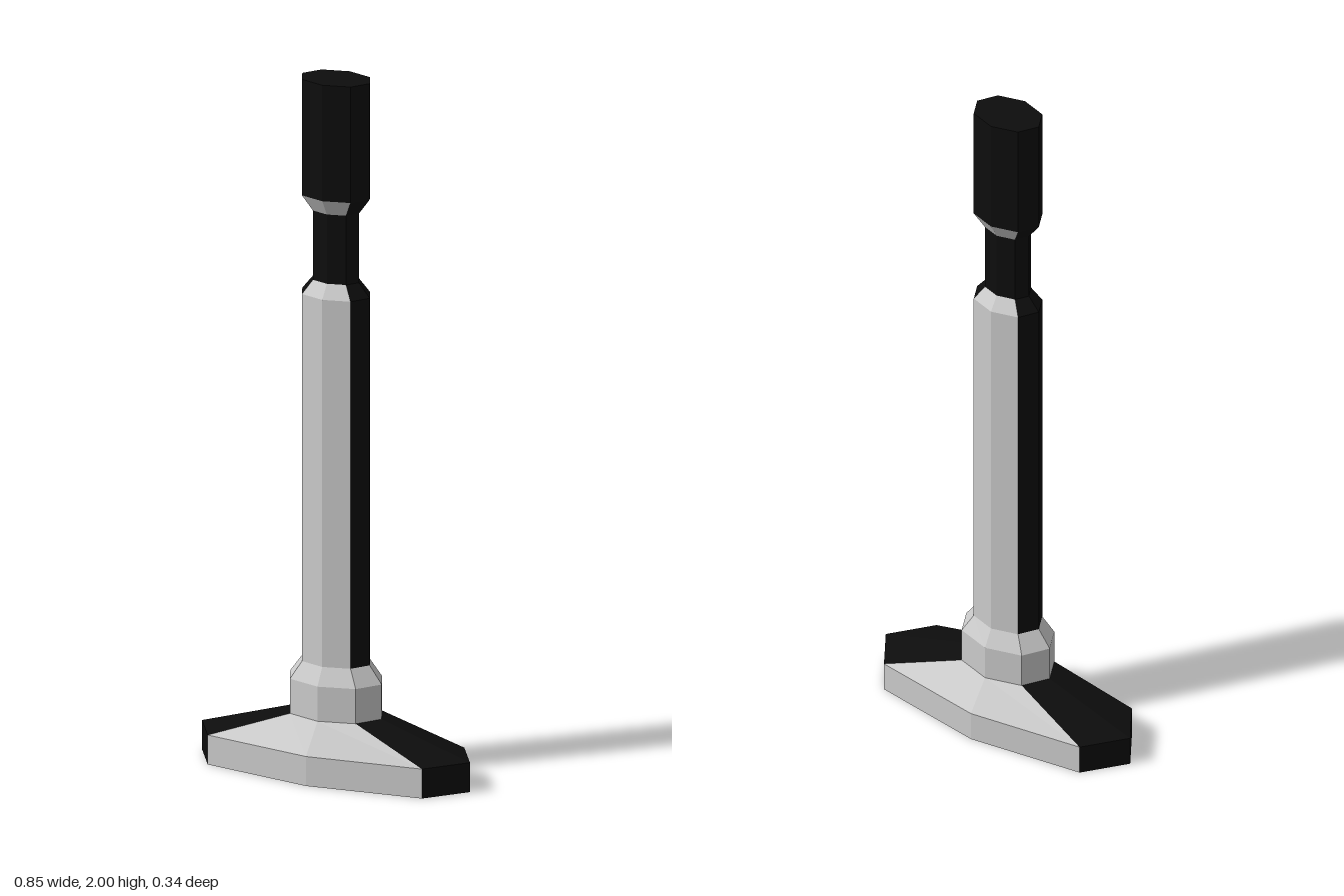
import * as THREE from 'three';

const GREY = 0xcccccc, BLACK = 0x0d0d0d;
// Facets of the eight-sided section: broad front/back pair, and the two ends
const BROAD = [1, 2, 5, 6], ENDS = [0, 3, 4, 7], ALL = [0, 1, 2, 3, 4, 5, 6, 7];

// Eight-sided ring: half width rx, half depth rz, corner position (cx, cz)
function ring(y, rx, rz, cx = rx * 0.72, cz = rz * 0.71) {
  return [[rx, 0], [cx, cz], [0, rz], [-cx, cz], [-rx, 0], [-cx, -cz], [0, -rz], [cx, -cz]]
    .map(([x, z]) => new THREE.Vector3(x, y, z));
}

// Skin between successive rings, on the chosen facets only
function skin(name, rings, facets, color) {
  const points = [];
  for (let r = 0; r < rings.length - 1; r++) {
    const lo = rings[r], hi = rings[r + 1];
    for (const i of facets) {
      const j = (i + 1) % 8;
      points.push(lo[i], hi[i], hi[j], lo[i], hi[j], lo[j]);
    }
  }
  const geometry = new THREE.BufferGeometry().setFromPoints(points);
  geometry.computeVertexNormals();
  const mesh = new THREE.Mesh(geometry, new THREE.MeshStandardMaterial({
    color, flatShading: true, side: THREE.DoubleSide,
  }));
  mesh.name = name;
  return mesh;
}

// Grey broad sides with black ends
function twoTone(name, rings) {
  const group = new THREE.Group();
  group.name = name;
  group.add(skin(name + 'Sides', rings, BROAD, GREY), skin(name + 'Ends', rings, ENDS, BLACK));
  return group;
}

export function createModel() {
  const model = new THREE.Group();
  model.name = 'pedestalPost';

  // Hollow foot: outer shell, bottom rim and recessed underside
  const footBottom = ring(0, 0.425, 0.17, 0.34, 0.12);
  const footEdge = ring(0.085, 0.425, 0.17, 0.34, 0.12);
  const footTop = ring(0.17, 0.145, 0.105);
  const recessBottom = ring(0, 0.385, 0.14, 0.31, 0.095);
  const recessEdge = ring(0.06, 0.385, 0.14, 0.31, 0.095);
  const recessTop = ring(0.14, 0.125, 0.085);
  model.add(twoTone('foot', [footBottom, footEdge, footTop]));
  model.add(skin('footRim', [recessBottom, footBottom], ALL, BLACK));
  model.add(twoTone('footRecess', [recessTop, recessEdge, recessBottom]));
  model.add(skin('recessCeiling', [ring(0.14, 0, 0), recessTop], ALL, BLACK));

  // Collar with bevelled top
  const shaftBottom = ring(0.32, 0.107, 0.078);
  model.add(skin('collar', [footTop, ring(0.27, 0.145, 0.105), shaftBottom], ALL, GREY));

  // Shaft narrowing into the neck
  const neckBottom = ring(1.42, 0.073, 0.052);
  const neckTop = ring(1.62, 0.073, 0.052);
  model.add(twoTone('shaft', [shaftBottom, ring(1.38, 0.107, 0.078), neckBottom]));
  model.add(skin('neck', [neckBottom, neckTop], ALL, BLACK));

  // Head: flared underside, straight walls and flat top
  const headBottom = ring(1.665, 0.107, 0.078);
  const headTop = ring(2, 0.107, 0.078);
  model.add(twoTone('headFlare', [neckTop, headBottom]));
  model.add(skin('head', [headBottom, headTop, ring(2, 0, 0)], ALL, BLACK));

  return model;
}
